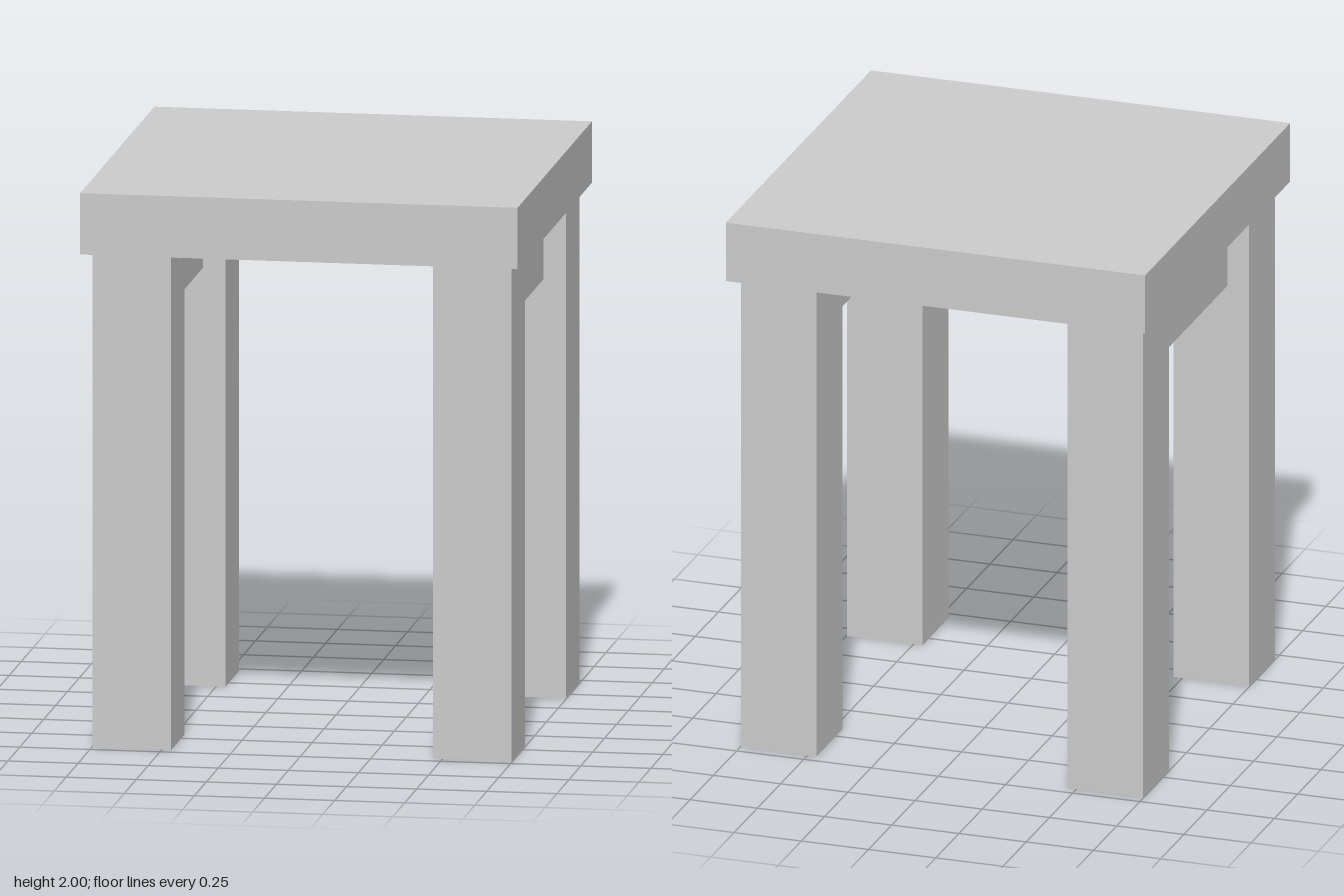
import * as THREE from 'three';

export function createModel() {
  const group = new THREE.Group();
  const material = new THREE.MeshStandardMaterial({ color: 0xcccccc, flatShading: true });

  // Box placed by its centre in x and z and by its bottom and top heights
  function addBox(name, width, depth, bottom, top, x, z) {
    const mesh = new THREE.Mesh(new THREE.BoxGeometry(width, top - bottom, depth), material);
    mesh.position.set(x, (bottom + top) / 2, z);
    mesh.name = name;
    group.add(mesh);
  }

  const seatBottom = 1.78;
  const legX = 0.607, legZ = 0.57, legSize = 0.28;

  // Square seat slab
  addBox('seat', 1.56, 1.56, seatBottom, 2, 0, 0);

  for (const [side, sx] of [['left', 1], ['right', -1]]) {
    // Front and back legs
    for (const [end, sz] of [['Front', 1], ['Back', -1]]) {
      addBox(`${side}${end}Leg`, legSize, legSize, 0, seatBottom, sx * legX, sz * legZ);
    }
    // Side rail between the legs, centred on their thickness
    addBox(`${side}Rail`, 0.12, 2 * legZ - legSize, 1.5, seatBottom, sx * legX, 0);
  }

  return group;
}
